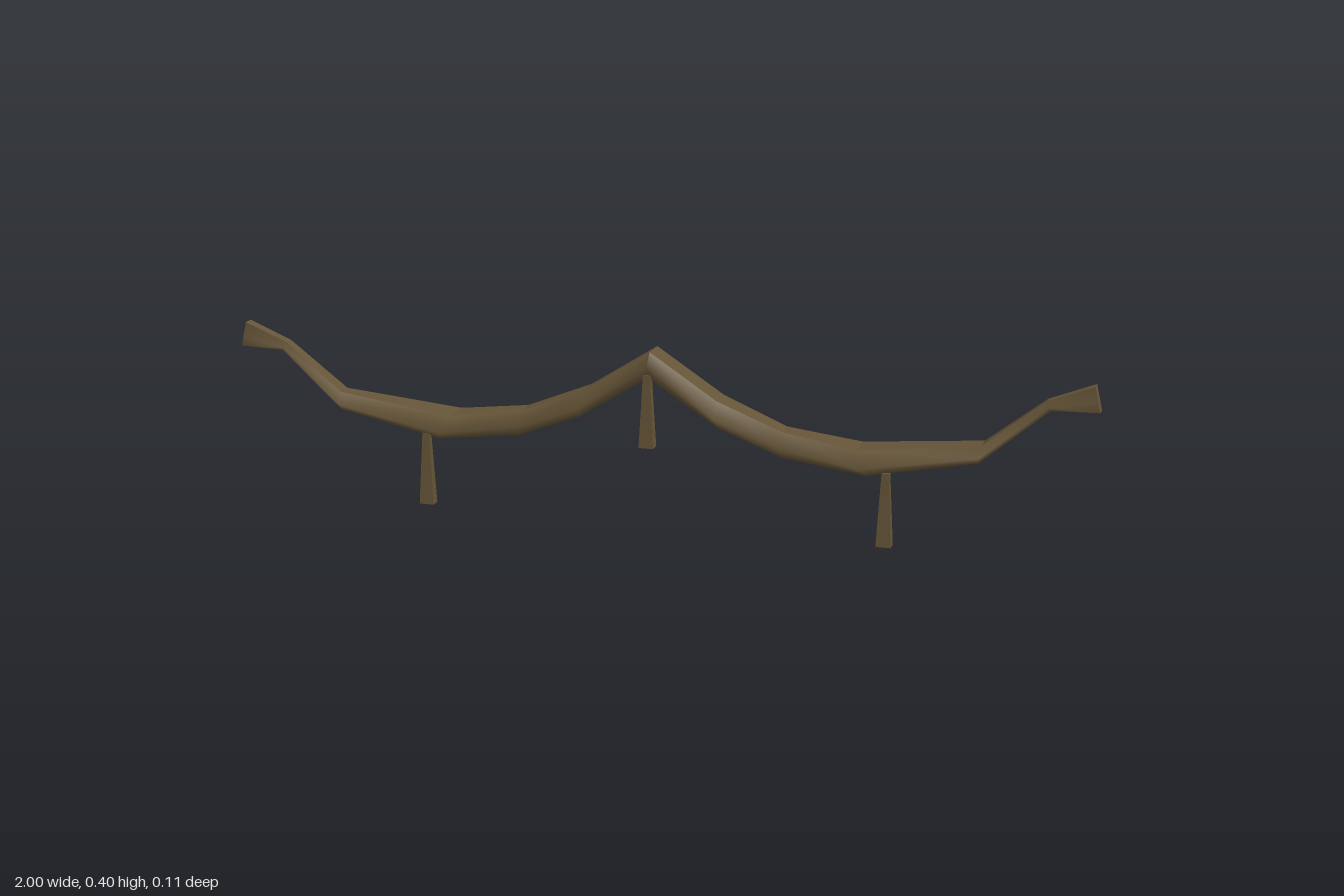
import * as THREE from 'three';
import { mergeGeometries } from 'three/addons/utils/BufferGeometryUtils.js';

// stations from the centre to the tip:
// [xTop, xBottom, yTop, yBottom, zBack, zFrontTop, zRidge, zFrontBottom]
const STATIONS = [
  [0, 0, 0.395, 0.34, -0.051, 0.008, 0.039, 0.022],
  [0.155, 0.162, 0.295, 0.236, -0.05, 0.01, 0.044, 0.02],
  [0.305, 0.308, 0.235, 0.18, -0.042, 0.006, 0.037, 0.018],
  [0.475, 0.5, 0.21, 0.156, -0.058, 0.015, 0.056, 0.022],
  [0.75, 0.745, 0.243, 0.203, -0.033, 0.006, 0.032, 0.012],
  [0.885, 0.895, 0.351, 0.331, -0.024, 0.0, 0.008, 0.002],
  [0.987, 1.0, 0.391, 0.334, -0.027, -0.001, 0.0, -0.001],
];

// five-sided cross-section: back top, front top, ridge, front bottom, back bottom
function ring([xt, xb, yt, yb, back, ft, ridge, fb]) {
  const r = 0.42;
  return [
    [xt, yt, back], [xt, yt, ft],
    [xb + (xt - xb) * r, yb + (yt - yb) * r, ridge],
    [xb, yb, fb], [xb, yb, back],
  ];
}

function makeGeometry(points, faces, side, smooth) {
  const g = new THREE.BufferGeometry();
  g.setAttribute('position', new THREE.Float32BufferAttribute(
    points.flatMap(([x, y, z]) => [x * side, y, z]), 3));
  g.setIndex(faces.flatMap(([a, b, c]) => (side > 0 ? [a, b, c] : [a, c, b])));
  if (smooth) g.computeVertexNormals();
  const out = g.toNonIndexed();
  if (!smooth) out.computeVertexNormals();
  return out;
}

// strip of surface along the wing through the given section corners
function strip(rings, corners, side, smooth) {
  const n = corners.length;
  const points = rings.flatMap(r => corners.map(k => r[k]));
  const faces = [];
  for (let i = 0; i < rings.length - 1; i++) {
    for (let k = 0; k < n - 1; k++) {
      const a = i * n + k, b = a + 1, d = a + n, c = d + 1;
      faces.push([a, b, c], [a, c, d]);
    }
  }
  return makeGeometry(points, faces, side, smooth);
}

function wingGeometry(side) {
  const rings = STATIONS.map(ring);
  return mergeGeometries([
    strip(rings, [0, 1], side, false),      // top
    strip(rings, [1, 2, 3], side, true),    // rounded front
    strip(rings, [3, 4], side, false),      // underside
    strip(rings, [4, 0], side, false),      // flat back
    makeGeometry(rings.at(-1), [[0, 1, 2], [0, 2, 3], [0, 3, 4]], side, false), // tip
  ]);
}

// square peg, wider at its foot
function pegGeometry(height) {
  const g = new THREE.CylinderGeometry(0.5 * Math.SQRT1_2, Math.SQRT1_2, height, 4, 1);
  g.rotateY(Math.PI / 4);
  g.scale(0.034, 1, 0.025);
  const flat = g.toNonIndexed();
  flat.computeVertexNormals();
  return flat;
}

export function createModel() {
  const group = new THREE.Group();
  const brown = new THREE.MeshStandardMaterial({ color: 0x665538 });
  brown.name = 'darkBrown';

  const add = (name, geometry) => {
    const mesh = new THREE.Mesh(geometry, brown);
    mesh.name = name;
    group.add(mesh);
    return mesh;
  };

  // two mirrored curved halves
  add('leftWing', wingGeometry(1));
  add('rightWing', wingGeometry(-1));

  // hanging pegs: [name, x, foot y, top y]
  for (const [name, x, y0, y1] of [
    ['leftPeg', 0.545, 0, 0.168],
    ['rightPeg', -0.53, 0, 0.168],
    ['middlePeg', 0, 0.18, 0.348],
  ]) {
    add(name, pegGeometry(y1 - y0)).position.set(x, (y0 + y1) / 2, 0.026);
  }
  return group;
}
